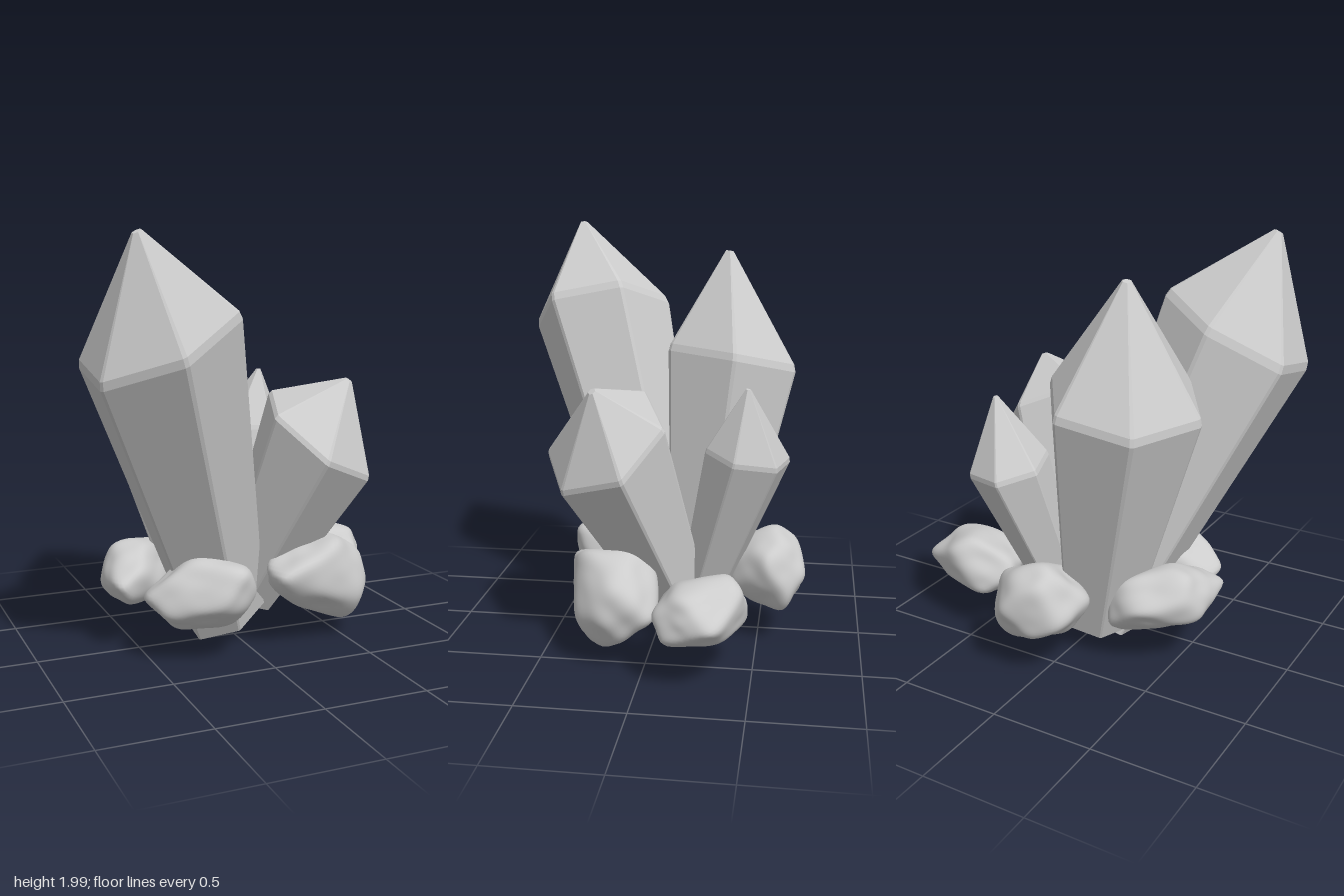
import * as THREE from 'three';
import { mergeVertices } from 'three/addons/utils/BufferGeometryUtils.js';

const V = (p) => new THREE.Vector3(...p);
const crystalMaterial = new THREE.MeshStandardMaterial({ color: 0xcccccc, flatShading: true });
const rockMaterial = new THREE.MeshStandardMaterial({ color: 0xcccccc });

// Six-sided crystal with narrow bevels. a and b run from the shoulder centre
// to two neighbouring corners and fix the tilt of the whole hexagon.
function crystal({ name, base, mid, tip, a, b, baseScale }) {
  const A = V(a), B = V(b), C = B.clone().sub(A);
  const hex = [A, B, C, A.clone().negate(), B.clone().negate(), C.clone().negate()];
  const outline = [];
  hex.forEach((h, i) => {
    outline.push(h.clone().lerp(hex[(i + 5) % 6], 0.03), h.clone().lerp(hex[(i + 1) % 6], 0.03));
  });
  const M = V(mid), P = V(base), T = V(tip);
  const rings = [
    [P, baseScale],
    [M.clone().lerp(P, 0.015), 1],
    [M.clone().lerp(T, 0.035), 0.975],
    [T, 0.06],
  ];
  const n = outline.length, pos = [], index = [];
  rings.forEach(([c, s]) => outline.forEach((o) => pos.push(...o.clone().multiplyScalar(s).add(c).toArray())));
  for (let r = 0; r < rings.length - 1; r++) {
    for (let i = 0; i < n; i++) {
      const j = (i + 1) % n, p = r * n;
      index.push(p + i, p + j, p + n + j, p + i, p + n + j, p + n + i);
    }
  }
  // end caps
  const top = (rings.length - 1) * n;
  for (let i = 1; i < n - 1; i++) index.push(0, i + 1, i, top, top + i, top + i + 1);
  const g = new THREE.BufferGeometry();
  g.setAttribute('position', new THREE.Float32BufferAttribute(pos, 3));
  g.setIndex(index);
  g.computeVertexNormals();
  const mesh = new THREE.Mesh(g, crystalMaterial);
  mesh.name = name;
  return mesh;
}

function seeded(seed) {
  let s = seed;
  return () => (s = (s * 16807) % 2147483647) / 2147483647;
}

// Rounded boulder: a sphere softly cut by scattered planes, fitted to a size.
function rock({ name, at, size, turn, seed }) {
  const rand = seeded(seed * 7919 + 13);
  const planes = [];
  for (let i = 0; i < 13; i++) {
    const y = 1 - (2 * (i + 0.5)) / 13, t = i * 2.4 + rand() * 0.9, r = Math.sqrt(1 - y * y);
    planes.push({ n: new THREE.Vector3(r * Math.cos(t), y, r * Math.sin(t)), d: 0.8 + rand() * 0.22 });
  }
  let g = new THREE.IcosahedronGeometry(1, 12);
  g.deleteAttribute('normal');
  g.deleteAttribute('uv');
  g = mergeVertices(g);
  const p = g.attributes.position, v = new THREE.Vector3();
  for (let i = 0; i < p.count; i++) {
    v.fromBufferAttribute(p, i).normalize();
    let sum = 0;
    for (const { n, d } of planes) sum += Math.pow(Math.max(n.dot(v), 0) / d, 11);
    const lump = 1 + 0.04 * Math.sin(5 * v.x + seed) * Math.sin(6 * v.y + 2 * seed) * Math.cos(5 * v.z);
    v.multiplyScalar(lump * Math.pow(sum, -1 / 11));
    p.setXYZ(i, v.x, v.y, v.z);
  }
  g.center();
  const box = g.boundingBox.getSize(new THREE.Vector3());
  g.scale(size[0] / box.x, size[1] / box.y, size[2] / box.z);
  g.computeVertexNormals();
  const mesh = new THREE.Mesh(g, rockMaterial);
  mesh.name = name;
  mesh.position.set(...at);
  mesh.rotation.set(...turn);
  return mesh;
}

export function createModel() {
  const model = new THREE.Group();
  model.name = 'crystalCluster';

  const crystals = [
    { name: 'tallFrontCrystal', base: [-0.02, 0.1, -0.07], mid: [-0.51, 1.53, 0.38], tip: [-0.64, 1.985, 0.5],
      a: [0, -0.07, 0.355], b: [0.31, 0.11, 0.2], baseScale: 0.55 },
    { name: 'tallBackCrystal', base: [-0.07, 0.14, -0.2], mid: [-0.28, 1.33, -0.32], tip: [-0.28, 1.865, -0.31],
      a: [0.195, 0.08, 0.285], b: [0.36, 0.06, -0.05], baseScale: 0.5 },
    { name: 'shortFrontCrystal', base: [0.1, 0.2, -0.1], mid: [0.36, 1.03, 0.21], tip: [0.505, 1.29, 0.235],
      a: [-0.1, -0.085, 0.295], b: [0.19, -0.205, 0.165], baseScale: 0.52 },
    { name: 'smallBackCrystal', base: [0.1, 0.17, -0.21], mid: [0.265, 0.965, -0.452], tip: [0.33, 1.285, -0.45],
      a: [0.06, 0.03, 0.195], b: [0.19, -0.01, 0.055], baseScale: 0.53 },
  ];
  crystals.forEach((c) => model.add(crystal(c)));

  const rocks = [
    { name: 'frontLeftRock', at: [0.355, 0.325, 0.18], size: [0.66, 0.42, 0.4], turn: [0, 0.4, -0.2], seed: 3 },
    { name: 'frontRightRock', at: [-0.275, 0.32, 0.25], size: [0.53, 0.36, 0.38], turn: [0, -0.35, 0.15], seed: 8 },
    { name: 'leftRock', at: [0.565, 0.325, -0.26], size: [0.52, 0.31, 0.42], turn: [0, -0.35, 0], seed: 5 },
    { name: 'rightRock', at: [-0.46, 0.33, -0.18], size: [0.6, 0.33, 0.32], turn: [0, 0.9, 0], seed: 11 },
    { name: 'backRock', at: [0.04, 0.345, -0.53], size: [0.45, 0.39, 0.38], turn: [0.2, 0.4, 0], seed: 14 },
  ];
  rocks.forEach((r) => model.add(rock(r)));

  return model;
}
